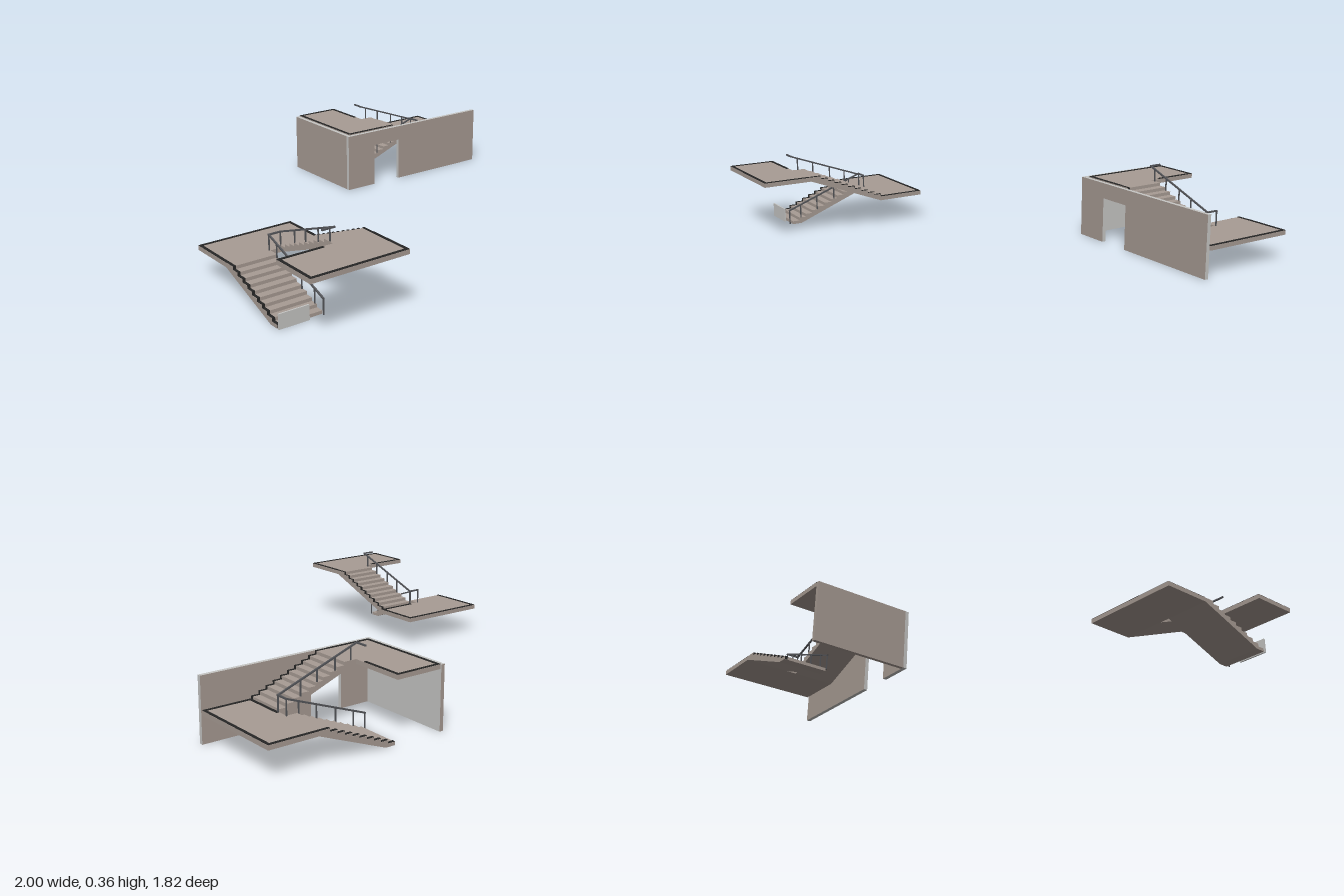
import * as THREE from 'three';

const mat = (name, color) => Object.assign(new THREE.MeshStandardMaterial({ color }), { name });

export function createModel() {
  const concrete = mat('taupe concrete', 0xa89c94);
  const light = mat('light grey plaster', 0xc6c6c4);
  const dark = mat('black edging', 0x262626);
  const metal = mat('grey rail metal', 0x55565a);
  const model = new THREE.Group();

  const add = (parent, name, geo, material) => {
    const m = new THREE.Mesh(geo, material);
    m.name = name;
    parent.add(m);
    return m;
  };
  const box = (parent, name, x0, x1, y0, y1, z0, z1, material) => {
    const m = add(parent, name, new THREE.BoxGeometry(x1 - x0, y1 - y0, z1 - z0), material);
    m.position.set((x0 + x1) / 2, (y0 + y1) / 2, (z0 + z1) / 2);
    return m;
  };
  // square bar between two points
  const bar = (parent, name, a, b, t = 0.007) => {
    const p = new THREE.Vector3(...a), q = new THREE.Vector3(...b);
    const m = add(parent, name, new THREE.BoxGeometry(t, t, p.distanceTo(q) + t * 0.8), metal);
    m.position.copy(p).add(q).multiplyScalar(0.5);
    m.lookAt(q);
  };
  // extrude a (z, y) outline from x0 to x1
  const extrudeX = (pts, x0, x1) => {
    const shape = new THREE.Shape(pts.map(([z, y]) => new THREE.Vector2(z, y)));
    return new THREE.ExtrudeGeometry(shape, { depth: x1 - x0, bevelEnabled: false })
      .rotateY(-Math.PI / 2).translate(x1, 0, 0);
  };

  const RISE = 0.0145, GO = 0.0355, STEPS = 10;
  // stepped outline: start z, base y, direction of climb, end z, soffit points
  const flight = (z0, y0, dir, zEnd, soffit) => {
    const pts = [];
    for (let i = 0; i < STEPS; i++) {
      const z = z0 + dir * GO * i;
      pts.push([z, y0 + RISE * i], [z, y0 + RISE * (i + 1)]);
    }
    pts.push([zEnd, y0 + RISE * STEPS]);
    return pts.concat(soffit);
  };

  const Y1 = 0.145, Y2 = 0.288, T = 0.02;
  const L = -1, R = -0.543, GL = -0.79, GR = -0.742;      // outer sides and stairwell sides
  const ZB = 0.077, ZM = 0.305, ZT = 0.685, ZF = 0.91;    // landing limits

  function buildStair() {
    const g = new THREE.Group();
    // landings
    box(g, 'middleLanding', L, R, Y1 - T, Y1, ZB, ZM, concrete);
    box(g, 'upperLanding', L, R, Y2 - T, Y2, ZT, ZF, concrete);

    // flights with black edging on the outer side
    const lower = flight(0.675, 0, -1, ZM, [[ZM, Y1 - T], [0.63, 0]]);
    const upper = flight(ZM, Y1 - 0.002, 1, ZT, [[ZT, Y2 - T], [0.675, Y2 - T], [ZM, Y1 - T]]);
    const shift = (pts, dz) => pts.map(([z, y]) => [z + dz, y + 0.0015]);
    add(g, 'lowerFlight', extrudeX(lower, L, GL), concrete);
    add(g, 'upperFlight', extrudeX(upper, GR, R), concrete);
    add(g, 'lowerFlightEdging', extrudeX(shift(lower, 0.0015), L + 0.002, L + 0.015), dark);
    add(g, 'upperFlightEdging', extrudeX(shift(upper, -0.0015), R - 0.013, R - 0.002), dark);

    // black edging on the landings
    const w = 0.014, e = 0.001;
    const strip = (x0, x1, y, z0, z1) => box(g, 'landingEdging', x0, x1, y, y + 0.002, z0, z1, dark);
    strip(L + e, R - e, Y1, ZB + e, ZB + w);
    strip(L + e, L + w, Y1, ZB + w, ZM);
    strip(R - w, R - e, Y1, ZB + w, ZM);
    strip(GR, R - w, Y1, ZM - w, ZM - e);
    strip(L + e, R - e, Y2, ZF - w, ZF - e);
    strip(L + e, L + w, Y2, ZT, ZF - w);
    strip(R - w, R - e, Y2, ZT, ZF - w);
    strip(L + w, GL, Y2, ZT + e, ZT + w);

    // handrails, cross rails and posts
    const xa = GL - 0.004, xb = GR + 0.004, za = 0.69, zb = 0.302;
    const h0 = 0.072, h1 = 0.215, h2 = 0.357;
    bar(g, 'lowerHandrail', [xa, h0, za], [xa, h1, zb]);
    bar(g, 'upperHandrail', [xb, h1, zb], [xb, h2, za]);
    bar(g, 'crossRail', [xa, h1, zb], [xb, h1, zb]);
    bar(g, 'crossRail', [xa, h2, za], [xb, h2, za]);
    const post = (x, y, z, len) => bar(g, 'railPost', [x, y - len, z], [x, y, z], 0.005);
    post(xa, h0, za, 0.068);
    for (const z of [0.63, 0.54, 0.445, 0.36])
      post(xa, h0 + (h1 - h0) * (za - z) / (za - zb), z, 0.07);
    post(xa, h1, zb, 0.07);
    for (const z of [0.302, 0.41, 0.49, 0.58, 0.66])
      post(xb, h1 + (h2 - h1) * (z - zb) / (za - zb), z, 0.07);
    return g;
  }

  // front stair, with a low panel at its foot
  const frontStair = buildStair();
  frontStair.name = 'frontStair';
  box(frontStair, 'footPanel', L, -0.86, 0, 0.066, 0.684, 0.691, light);
  model.add(frontStair);

  // rear stair: same stair turned a quarter
  const rearStair = buildStair();
  rearStair.name = 'rearStair';
  rearStair.rotation.y = -Math.PI / 2;
  rearStair.position.set(1.077, 0, 0.09);
  model.add(rearStair);

  // walls around the rear stair, front one with a doorway
  const H = 0.286;
  const outline = [[0.145, 0], [0.31, 0], [0.31, 0.213], [0.47, 0.213], [0.47, 0], [1, 0], [1, H], [0.145, H]];
  const wall = new THREE.ExtrudeGeometry(
    new THREE.Shape(outline.map(p => new THREE.Vector2(...p))), { depth: 0.018, bevelEnabled: false });
  add(model, 'frontWall', wall.translate(0, 0, -0.447), [concrete, light]);
  box(model, 'sideWall', 0.145, 0.163, 0, H, -0.91, -0.447,
    [light, concrete, light, concrete, concrete, concrete]);

  return model;
}
